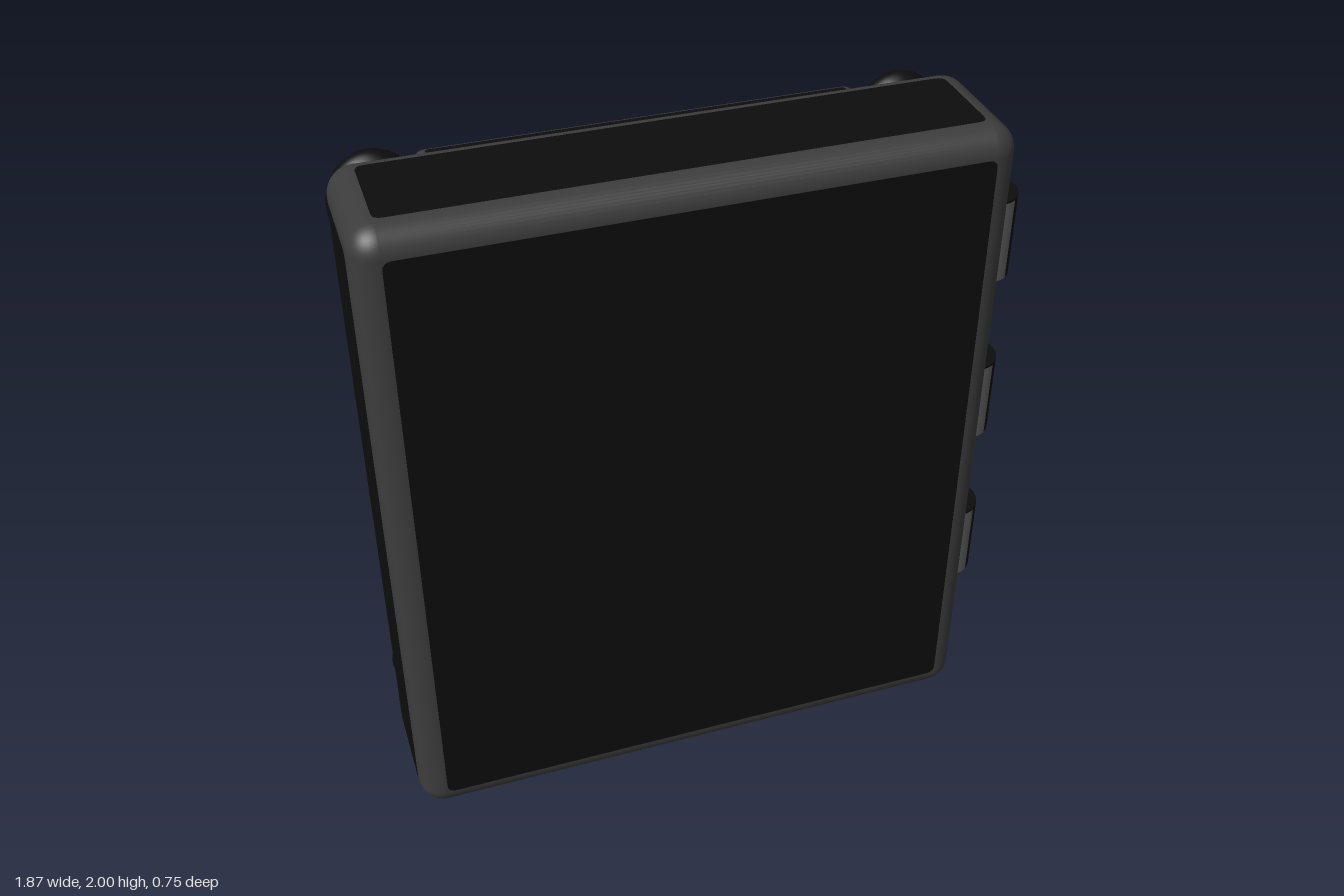
import * as THREE from 'three';
import { RoundedBoxGeometry } from 'three/addons/geometries/RoundedBoxGeometry.js';

const mat = (name, color) => {
  const m = new THREE.MeshStandardMaterial({ color });
  m.name = name;
  return m;
};

export function createModel() {
  const black = mat('blackSteel', 0x0d0d0d);
  const grey = mat('greySteel', 0x3c3c3c);
  const light = mat('brightSteel', 0x5c5c5c);
  const model = new THREE.Group();
  model.name = 'vaultDoor';

  const add = (parent, name, geo, material, x = 0, y = 0, z = 0) => {
    const m = new THREE.Mesh(geo, material);
    m.name = name;
    m.position.set(x, y, z);
    parent.add(m);
    return m;
  };

  // Thin rounded rectangle used as a face inlay
  const inlay = (w, h, r) => {
    const s = new THREE.Shape();
    const x = w / 2, y = h / 2;
    s.moveTo(-x + r, -y);
    s.lineTo(x - r, -y);
    s.quadraticCurveTo(x, -y, x, -y + r);
    s.lineTo(x, y - r);
    s.quadraticCurveTo(x, y, x - r, y);
    s.lineTo(-x + r, y);
    s.quadraticCurveTo(-x, y, -x, y - r);
    s.lineTo(-x, -y + r);
    s.quadraticCurveTo(-x, -y, -x + r, -y);
    return new THREE.ShapeGeometry(s, 4);
  };

  // Grey rounded box with a black inlay on all six faces
  const panelBox = (parent, name, w, h, d, r, x, y, z) => {
    const g = new THREE.Group();
    g.name = name;
    g.position.set(x, y, z);
    add(g, name + 'Edges', new RoundedBoxGeometry(w, h, d, 5, r), grey);
    const e = 0.002;
    for (const s of [1, -1]) {
      add(g, name + 'Face', inlay(w - 2 * r, h - 2 * r, r * 0.35), black, 0, 0, s * (d / 2 + e))
        .rotation.y = s > 0 ? 0 : Math.PI;
      add(g, name + 'Side', inlay(d - 2 * r, h - 2 * r, r * 0.35), black, s * (w / 2 + e), 0, 0)
        .rotation.y = s * Math.PI / 2;
      add(g, name + 'End', inlay(w - 2 * r, d - 2 * r, r * 0.35), black, 0, s * (h / 2 + e), 0)
        .rotation.x = -s * Math.PI / 2;
    }
    parent.add(g);
  };

  const ellipsoid = (parent, name, rx, ry, rz, x, y, z) =>
    add(parent, name, new THREE.SphereGeometry(1, 32, 20), black, x, y, z).scale.set(rx, ry, rz);

  // Door slab
  panelBox(model, 'slab', 1.735, 1.996, 0.415, 0.073, -0.068, 1, 0.163);

  // Hinges with bright strips along front and back
  for (const y of [0.45, 1.007, 1.56]) {
    const hinge = new THREE.Group();
    hinge.name = 'hinge';
    hinge.position.set(0.848, y, 0.125);
    add(hinge, 'hingeBarrel', new THREE.CylinderGeometry(0.085, 0.085, 0.258, 32), black);
    const strip = (a, half) => add(hinge, 'hingeStrip', new THREE.CylinderGeometry(
      0.088, 0.088, 0.25, 10, 1, true, a - half, half * 2), light);
    strip(0, 0.56);
    strip(Math.PI, 0.25);
    model.add(hinge);
  }

  // Back assembly: local +z points out of the back
  const back = new THREE.Group();
  back.name = 'lockSide';
  back.position.set(-0.07, 1, 0);
  back.rotation.y = Math.PI;
  model.add(back);

  // Frame bars
  for (const s of [1, -1]) {
    panelBox(back, 'sideBar', 0.2, 1.4, 0.145, 0.03, s * 0.735, 0, 0.107);
    panelBox(back, 'crossBar', 1.235, 0.2, 0.145, 0.03, 0, s * 0.82, 0.107);
  }

  // Recessed plate and the corner studs
  add(back, 'backPlate', new THREE.BoxGeometry(1.36, 1.52, 0.08), black, 0, 0, 0.07);
  for (const sx of [1, -1]) for (const sy of [1, -1]) {
    ellipsoid(back, 'cornerStud', 0.125, 0.143, 0.073, sx * 0.735, sy * 0.82, 0.115);
    ellipsoid(back, 'innerStud', 0.105, 0.098, 0.08, sx * 0.53, sy * 0.655, 0.165);
    // Small prongs around each inner stud
    for (let i = 0; i < 6; i++) {
      const a = i * Math.PI / 3 + 0.3;
      add(back, 'studProng', new THREE.CapsuleGeometry(0.018, 0.06, 4, 8), grey,
        sx * (0.53 + 0.1 * Math.cos(a)), sy * (0.655 + 0.1 * Math.sin(a)), 0.12)
        .rotation.z = sx * sy * (a - Math.PI / 2);
    }
  }

  // Lugs around the ring
  for (let i = 0; i < 16; i++) {
    const a = (i + 0.5) * Math.PI / 8;
    add(back, 'ringLug', new THREE.CapsuleGeometry(0.025, 0.06, 4, 8), grey,
      Math.cos(a) * 0.65, Math.sin(a) * 0.65, 0.125).rotation.z = a - Math.PI / 2;
  }

  // Main ring, inner ring and dial plate
  const ring = (name, R, t, z, sz, m) =>
    add(back, name, new THREE.TorusGeometry(R, t, 16, 72), m, 0, 0, z).scale.z = sz;
  const disc = (name, r, z0, z1, m, r2 = r) =>
    add(back, name, new THREE.CylinderGeometry(r2, r, z1 - z0, 48), m, 0, 0, (z0 + z1) / 2)
      .rotation.x = Math.PI / 2;
  ring('mainRing', 0.545, 0.088, 0.165, 1, grey);
  disc('dialPlate', 0.52, 0.1, 0.18, black);
  ring('innerRing', 0.425, 0.035, 0.18, 1, grey);

  // Handwheel: six spokes, hub and rim
  for (let i = 0; i < 6; i++) {
    const a = i * Math.PI / 3;
    add(back, 'spoke', new THREE.CapsuleGeometry(0.032, 0.26, 6, 12), grey,
      Math.cos(a) * 0.26, Math.sin(a) * 0.26, 0.25).rotation.z = a - Math.PI / 2;
  }
  disc('shaft', 0.1, 0.17, 0.3, black);
  disc('hubPlate', 0.19, 0.29, 0.32, black);
  ring('hubRing', 0.188, 0.046, 0.307, 0.62, light);
  disc('hubCap', 0.14, 0.31, 0.355, black, 0.12);

  // Keyhole boss
  add(back, 'keyBoss', new THREE.CylinderGeometry(0.034, 0.034, 0.04, 24), light, 0, 0.015, 0.356)
    .rotation.x = Math.PI / 2;
  add(back, 'keyStem', new THREE.BoxGeometry(0.028, 0.08, 0.036), light, 0, -0.03, 0.356);

  return model;
}
